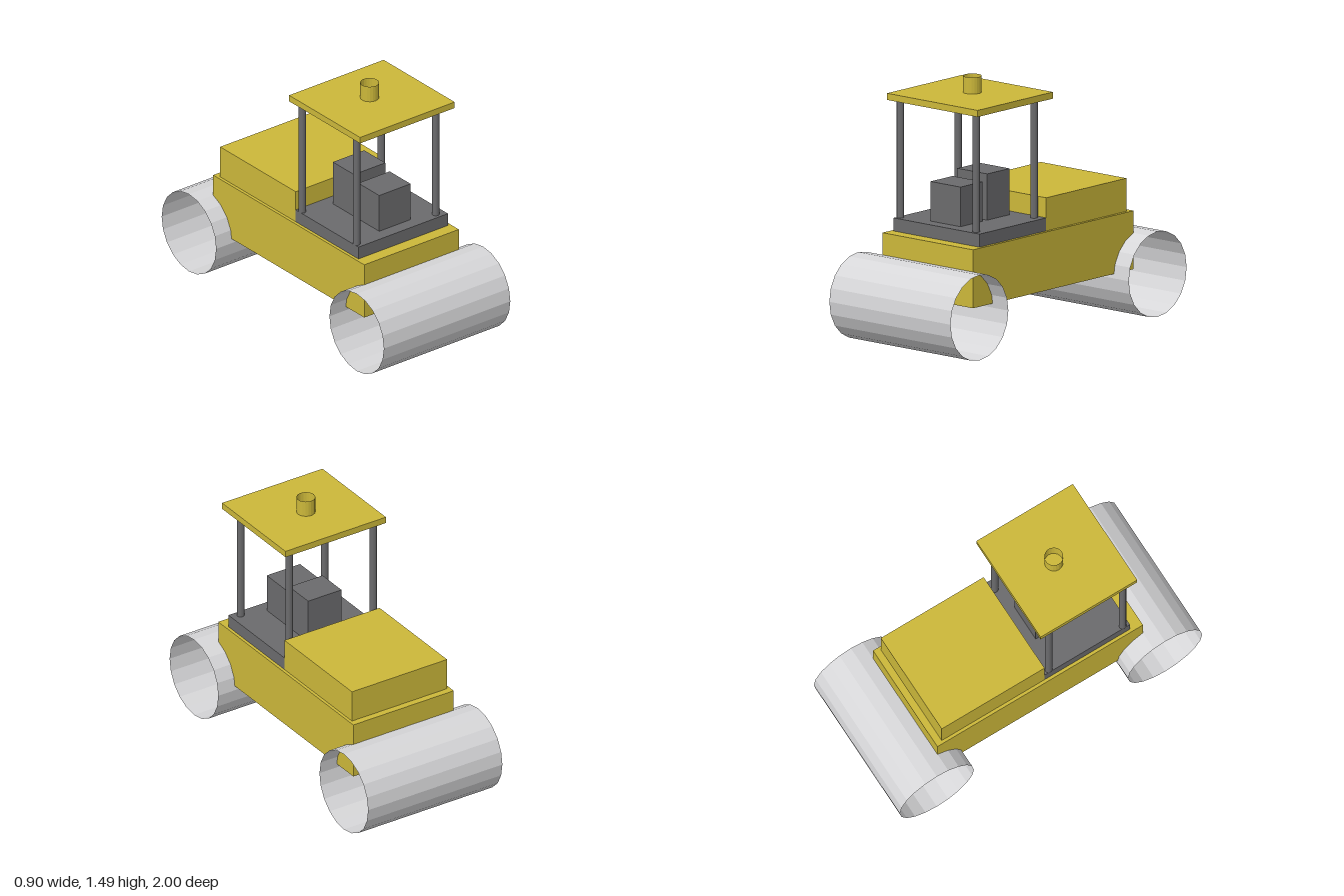
import * as THREE from 'three';

const mat = (name, color, extra = {}) =>
  Object.assign(new THREE.MeshStandardMaterial({ color, ...extra }), { name });

export function createModel() {
  const group = new THREE.Group();
  const tube = { flatShading: true, side: THREE.DoubleSide };
  const yellow = mat('yellow paint', 0xccb83a);
  const yellowTube = mat('yellow paint', 0xccb83a, tube);
  const grey = mat('dark grey', 0x6b6b6d, tube);
  const steel = mat('drum steel', 0xd6d6d8, tube);

  const add = (name, geometry, material, x, y, z) => {
    const mesh = new THREE.Mesh(geometry, material);
    mesh.name = name;
    mesh.position.set(x, y, z);
    group.add(mesh);
    return mesh;
  };

  // Box given by its half width and its y and z ranges
  const box = (name, material, halfW, y0, y1, z0, z1) =>
    add(name, new THREE.BoxGeometry(2 * halfW, y1 - y0, z1 - z0), material,
      0, (y0 + y1) / 2, (z0 + z1) / 2);

  // Open-ended upright tube
  const openTube = (r, h) => new THREE.CylinderGeometry(r, r, h, 20, 1, true);

  // Body, engine hood and cab floor
  box('body', yellow, 0.338, 0.27, 0.605, -0.68, 0.68);
  box('hood', yellow, 0.32, 0.605, 0.795, -0.64, 0.04);
  box('cabFloor', grey, 0.32, 0.605, 0.68, 0.04, 0.605);

  // Seat and control console
  box('console', grey, 0.112, 0.68, 0.907, 0.342, 0.53);
  box('seat', grey, 0.112, 0.68, 0.945, 0.113, 0.303);

  // Roof with a hollow stack on top
  box('roof', yellow, 0.338, 1.36, 1.398, 0.003, 0.642);
  add('stack', openTube(0.053, 0.095), yellowTube, 0, 1.4455, 0.303);

  // Roof posts
  for (const x of [-0.303, 0.263])
    for (const z of [0.078, 0.567])
      add('roofPost', openTube(0.021, 0.68), grey, x, 1.02, z);

  // Hollow front and rear drums, lying across the model
  for (const [name, z] of [['frontDrum', 0.755], ['rearDrum', -0.755]])
    add(name, openTube(0.245, 0.904), steel, 0, 0.245, z).rotation.z = Math.PI / 2;

  return group;
}
